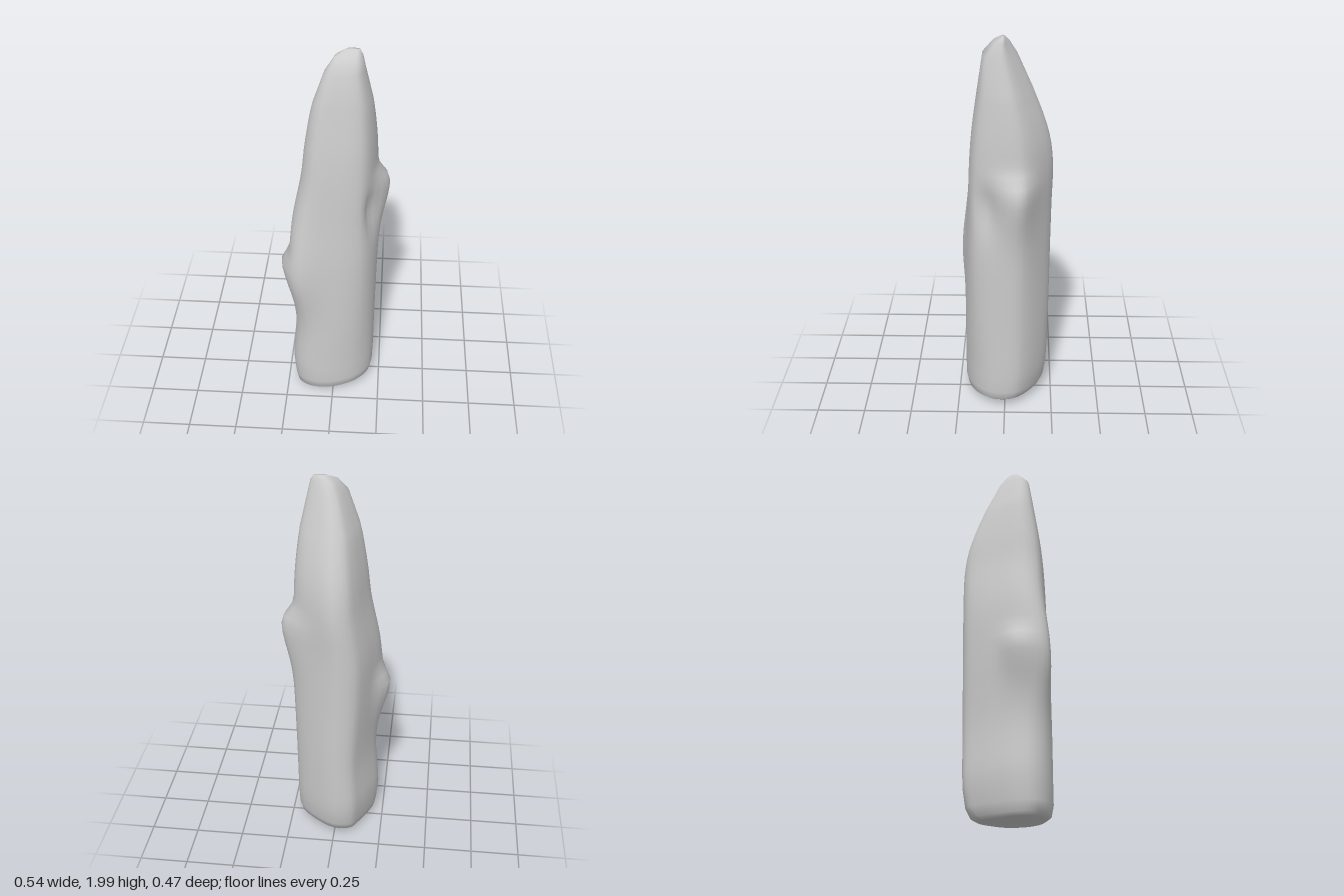
import * as THREE from 'three';

// Outlines of the spire seen from above, as [x, z], at the foot and at the shoulder
const FOOT = [[0.21, -0.03], [0.19, -0.1], [0.1, -0.185], [0, -0.235], [-0.09, -0.215], [-0.13, -0.15], [-0.18, -0.04],
  [-0.21, 0.06], [-0.195, 0.145], [-0.13, 0.2], [-0.02, 0.215], [0.09, 0.18], [0.155, 0.13], [0.2, 0.06]];
const SHOULDER = [[0.205, -0.05], [0.185, -0.11], [0.1, -0.185], [0, -0.235], [-0.07, -0.205], [-0.105, -0.14], [-0.135, -0.04],
  [-0.155, 0.06], [-0.145, 0.12], [-0.1, 0.17], [0, 0.178], [0.09, 0.17], [0.15, 0.14], [0.19, 0.055]];

// Extents by height: y, left x, right x, back z, front z
const EXTENTS = [
  [0.012, -0.18, 0.18, -0.15, 0.18],
  [0.03, -0.2, 0.2, -0.18, 0.205],
  [0.08, -0.21, 0.21, -0.205, 0.215],
  [0.18, -0.22, 0.213, -0.22, 0.215],
  [0.47, -0.2, 0.216, -0.228, 0.213],
  [0.85, -0.212, 0.222, -0.232, 0.205],
  [1.1, -0.205, 0.22, -0.235, 0.192],
  [1.36, -0.16, 0.212, -0.237, 0.18],
  [1.53, -0.14, 0.205, -0.21, 0.165],
  [1.75, -0.1, 0.18, -0.13, 0.133],
  [1.91, -0.045, 0.145, -0.06, 0.108],
  [1.975, 0, 0.13, -0.022, 0.055],
  [2.0, 0.05, 0.115, -0.004, 0.018],
];

// Knobs and hollows: centre, push, spread below, above and sideways
const KNOBS = [
  { at: [-0.205, 0.85, 0.07], push: [-0.05, 0, 0], below: 0.18, above: 0.06, side: 0.07 },
  { at: [-0.17, 0.8, 0.18], push: [-0.03, 0, 0.04], below: 0.22, above: 0.3, side: 0.1 },
  { at: [0.21, 1.27, -0.06], push: [0.06, 0, -0.01], below: 0.22, above: 0.06, side: 0.1 },
  { at: [0.19, 1.17, 0.09], push: [-0.03, 0, -0.01], below: 0.14, above: 0.1, side: 0.05 },
];

const SEGMENTS = 42;

// Smooth an outline and scale it to the unit square
function unitOutline(points) {
  const curve = new THREE.CatmullRomCurve3(points.map(([x, z]) => new THREE.Vector3(x, 0, z)), true);
  const ring = Array.from({ length: SEGMENTS }, (_, i) => curve.getPoint(i / SEGMENTS));
  const box = new THREE.Box3().setFromPoints(ring);
  const size = box.getSize(new THREE.Vector3());
  return ring.map((p) => [(p.x - box.min.x) / size.x, (p.z - box.min.z) / size.z]);
}

// Smooth interpolation of the extents at any height
function extentsAt(y) {
  const last = EXTENTS.length - 1;
  let k = 0;
  while (k < last - 1 && EXTENTS[k + 1][0] < y) k++;
  const a = EXTENTS[k], b = EXTENTS[k + 1];
  const span = b[0] - a[0], t = (y - a[0]) / span;
  const slope = (j, i) => {
    const p = EXTENTS[Math.max(j - 1, 0)], q = EXTENTS[Math.min(j + 1, last)];
    return (q[i] - p[i]) / (q[0] - p[0]) * span;
  };
  return a.map((v, i) => {
    const d = b[i] - v, m0 = slope(k, i), m1 = slope(k + 1, i);
    return v + t * m0 + t * t * (3 * d - 2 * m0 - m1) + t * t * t * (m0 + m1 - 2 * d);
  });
}

function spireGeometry() {
  const foot = unitOutline(FOOT), shoulder = unitOutline(SHOULDER);
  const heights = EXTENTS.map((e) => e[0]).filter((y) => y < 0.2 || y > 1.7);
  for (let y = 0.25; y < 1.72; y += 0.05) heights.push(y);
  heights.sort((a, b) => a - b);

  // The first and last rings shrink to a point and close the ends
  const rings = [[heights[0], 0], ...heights.map((y) => [y, 1]), [2, 0]];
  const positions = [], index = [];
  rings.forEach(([y, scale], r) => {
    const [, x0, x1, z0, z1] = extentsAt(y);
    const blend = THREE.MathUtils.smoothstep(y, 0, 1.3);
    for (let i = 0; i < SEGMENTS; i++) {
      const u = THREE.MathUtils.lerp(foot[i][0], shoulder[i][0], blend);
      const v = THREE.MathUtils.lerp(foot[i][1], shoulder[i][1], blend);
      const x = x0 + (x1 - x0) * (0.5 + (u - 0.5) * scale);
      const z = z0 + (z1 - z0) * (0.5 + (v - 0.5) * scale);
      const p = [x, y, z];
      for (const { at, push, below, above, side } of KNOBS) {
        const dy = (y - at[1]) / (y < at[1] ? below : above);
        const flat = Math.hypot(x - at[0], z - at[2]) / side;
        const w = Math.exp(-dy * dy - flat * flat);
        push.forEach((d, k) => { p[k] += d * w; });
      }
      // The underside rises towards the left
      p[1] += Math.max(0, 1 - y / 0.25) * (0.011 + x * 0.095);
      positions.push(...p);
      if (r > 0) {
        const n = (i + 1) % SEGMENTS, lo = (r - 1) * SEGMENTS, hi = r * SEGMENTS;
        if (r > 1) index.push(lo + i, lo + n, hi + i);
        if (r < rings.length - 1) index.push(lo + n, hi + n, hi + i);
      }
    }
  });
  const geometry = new THREE.BufferGeometry();
  geometry.setAttribute('position', new THREE.Float32BufferAttribute(positions, 3));
  geometry.setIndex(index);
  geometry.computeVertexNormals();
  return geometry;
}

export function createModel() {
  const model = new THREE.Group();
  model.name = 'standingStone';
  const spire = new THREE.Mesh(spireGeometry(), new THREE.MeshStandardMaterial({ color: 0xcccccc }));
  spire.name = 'rockSpire';
  model.add(spire);
  return model;
}
